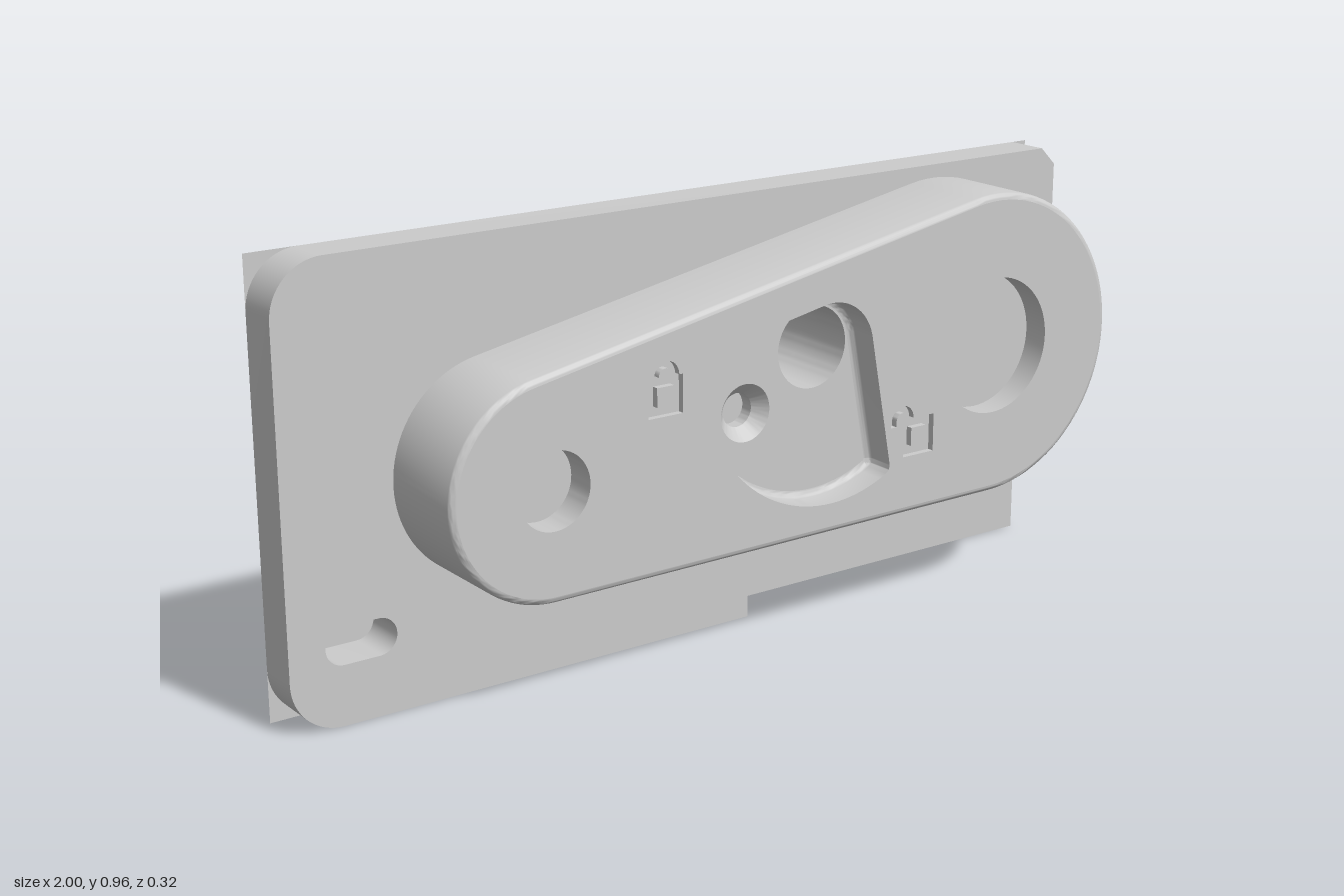
import * as THREE from 'three';
import { toCreasedNormals } from 'three/addons/utils/BufferGeometryUtils.js';

const BACK = -0.16, PLATE = -0.06, POCKET = 0.09, FRONT = 0.16, FILLET = 0.015;
const material = new THREE.MeshStandardMaterial({ color: 0xcccccc, side: THREE.DoubleSide });

// Outline from arcs [cx, cy, r, startDeg, endDeg, steps]; inset shrinks every radius
function arcs(list, inset = 0) {
  const pts = [];
  for (const [cx, cy, r, a0, a1, n = 24] of list) {
    for (let i = 0; i <= n; i++) {
      const a = THREE.MathUtils.degToRad(a0 + ((a1 - a0) * i) / n);
      pts.push([cx + (r - inset) * Math.cos(a), cy + (r - inset) * Math.sin(a)]);
    }
  }
  return pts;
}
const circle = (x, y, r) => arcs([[x, y, r, 0, 354.375, 63]]);
const rect = (x0, y0, x1, y1) => [[x0, y0], [x1, y0], [x1, y1], [x0, y1]];
const vecs = (pts) => pts.map(([x, y]) => new THREE.Vector2(x, y));

function shapeOf(outline, holes = []) {
  const shape = new THREE.Shape(vecs(outline));
  shape.holes = holes.map((h) => new THREE.Path(vecs(h)));
  return shape;
}

// Flat face at depth z
function face(outline, z, holes) {
  return new THREE.ShapeGeometry(shapeOf(outline, holes)).translate(0, 0, z);
}

// Wall through closed rings [points, z]; back to front faces out, front to back faces in
function loft(rings) {
  const n = rings[0][0].length, pos = [], index = [];
  for (const [pts, z] of rings) for (const [x, y] of pts) pos.push(x, y, z);
  for (let i = 0; i < rings.length - 1; i++) {
    for (let j = 0; j < n; j++) {
      const a = i * n + j, b = i * n + ((j + 1) % n);
      index.push(a, b, b + n, a, b + n, a + n);
    }
  }
  const g = new THREE.BufferGeometry();
  g.setAttribute('position', new THREE.Float32BufferAttribute(pos, 3));
  g.setIndex(index);
  return toCreasedNormals(g, 0.6);
}

// Rings of a quarter-round edge: callback gives [inset, z] for a turn of 0..1
function quarter(outline, zAt, steps = 6) {
  return Array.from({ length: steps + 1 }, (_, i) => {
    const a = (i / steps) * Math.PI / 2;
    return [arcs(outline, FILLET * (1 - Math.cos(a))), zAt(Math.sin(a))];
  });
}

export function createModel() {
  const model = new THREE.Group();
  const add = (name, geometry, parent = model) => {
    const mesh = new THREE.Mesh(geometry, material);
    mesh.name = name;
    parent.add(mesh);
  };
  const group = (name) => {
    const g = new THREE.Group();
    g.name = name;
    model.add(g);
    return g;
  };

  const boreCircle = circle(0.17, 0.645, 0.09);

  // Thin full-size sheet behind everything
  add('backSheet', face(rect(-1, 0, 1, 0.96), BACK, [boreCircle]));

  // Base plate with rounded left corners, clipped right corners and a stepped cut-out
  const plateOutline = [
    ...arcs([[-0.885, 0.845, 0.115, 90, 180, 16], [-0.885, 0.115, 0.115, 180, 270, 16]]),
    [0.115, 0], [0.115, 0.11], [0.345, 0.222], [0.96, 0.222], [1, 0.262], [1, 0.92], [0.96, 0.96],
  ];
  const slot = arcs([[-0.8, 0.17, 0.04, -90, 90, 16], [-0.88, 0.17, 0.04, 90, 270, 16]]);
  const plate = new THREE.ExtrudeGeometry(shapeOf(plateOutline, [slot, boreCircle]),
    { depth: PLATE - BACK, bevelEnabled: false });
  add('basePlate', toCreasedNormals(plate.translate(0, 0, BACK), 0.6));

  // Tapered housing: two round ends joined by tangents, with a softened front edge
  const housing = [[0.627, 0.59, 0.34, -89.8, 100.7, 48], [-0.52, 0.48, 0.235, 100.7, 270.2, 48]];
  // Fan-shaped pocket swinging about the bore
  const polar = (d, deg) => {
    const a = THREE.MathUtils.degToRad(deg);
    return [0.17 + d * Math.cos(a), 0.645 + d * Math.sin(a)];
  };
  const pocket = [
    [0.17, 0.645, 0.11, 10.5, 101, 20],
    [...polar(0.29, 177), 0.04, 101, 177, 12],
    [0.17, 0.645, 0.33, 177, 297.4, 40],
    [...polar(0.31, 297.4), 0.02, 297.4, 370.5, 12],
  ];

  // Engraved padlock outlines: closed on the left, open on the right
  const closedLock = [
    [-0.298, 0.585], [-0.213, 0.585], [-0.213, 0.667],
    ...arcs([[-0.255, 0.667, 0.033, 0, 180, 16]]), [-0.298, 0.667],
  ];
  const openLock = [
    [0.37, 0.38], [0.455, 0.38], [0.455, 0.465],
    ...arcs([[0.366, 0.465, 0.032, 0, 180, 16]]), [0.334, 0.452], [0.35, 0.452],
    ...arcs([[0.366, 0.465, 0.016, 180, 0, 12]]), [0.37, 0.465],
  ];
  const roundHoles = [
    ['smallRoundRecess', circle(-0.52, 0.48, 0.083), 0.07],
    ['largeRoundRecess', circle(0.627, 0.59, 0.153), 0.06],
  ];

  const body = group('housing');
  add('housingWall', loft([[arcs(housing), PLATE],
    ...quarter(housing, (s) => FRONT - FILLET + FILLET * s)]), body);
  add('housingFront', face(arcs(housing, FILLET), FRONT,
    [arcs(pocket), closedLock, openLock, ...roundHoles.map((h) => h[1])]), body);

  // Blind recesses in the front face
  const recess = (name, outline, depth) => {
    const g = group(name);
    add('recessWall', loft([[outline, FRONT], [outline, FRONT - depth]]), g);
    add('recessFloor', face(outline, FRONT - depth), g);
    return g;
  };
  for (const [name, outline, depth] of roundHoles) recess(name, outline, depth);

  // Padlock engravings with their raised centres
  const engrave = (name, outline, islands) => {
    const depth = 0.015, g = recess(name, outline, depth);
    for (const island of islands) {
      add('raisedCentre', loft([[island, FRONT - depth], [island, FRONT]]), g);
      add('raisedCentreFace', face(island, FRONT), g);
    }
  };
  engrave('closedLockEngraving', closedLock, [
    rect(-0.276, 0.606, -0.235, 0.647),
    arcs([[-0.255, 0.668, 0.017, 0, 180, 12]]),
  ]);
  engrave('openLockEngraving', openLock, [rect(0.392, 0.402, 0.433, 0.443)]);

  // Pocket with a rounded floor edge, through bore and countersunk screw hole
  const pocketGroup = group('pocket');
  const sink = (r) => circle(-0.005, 0.53, r);
  add('pocketWall', loft([[arcs(pocket), FRONT],
    ...quarter(pocket, (s) => POCKET + FILLET * (1 - s))]), pocketGroup);
  add('pocketFloor', face(arcs(pocket, FILLET), POCKET, [boreCircle, sink(0.063)]), pocketGroup);
  add('boreWall', loft([[boreCircle, POCKET], [boreCircle, PLATE]]), pocketGroup);
  add('countersink', loft([[sink(0.063), POCKET], [sink(0.037), 0.06], [sink(0.037), 0.03]]), pocketGroup);
  add('screwHoleFloor', face(sink(0.037), 0.03), pocketGroup);

  return model;
}
